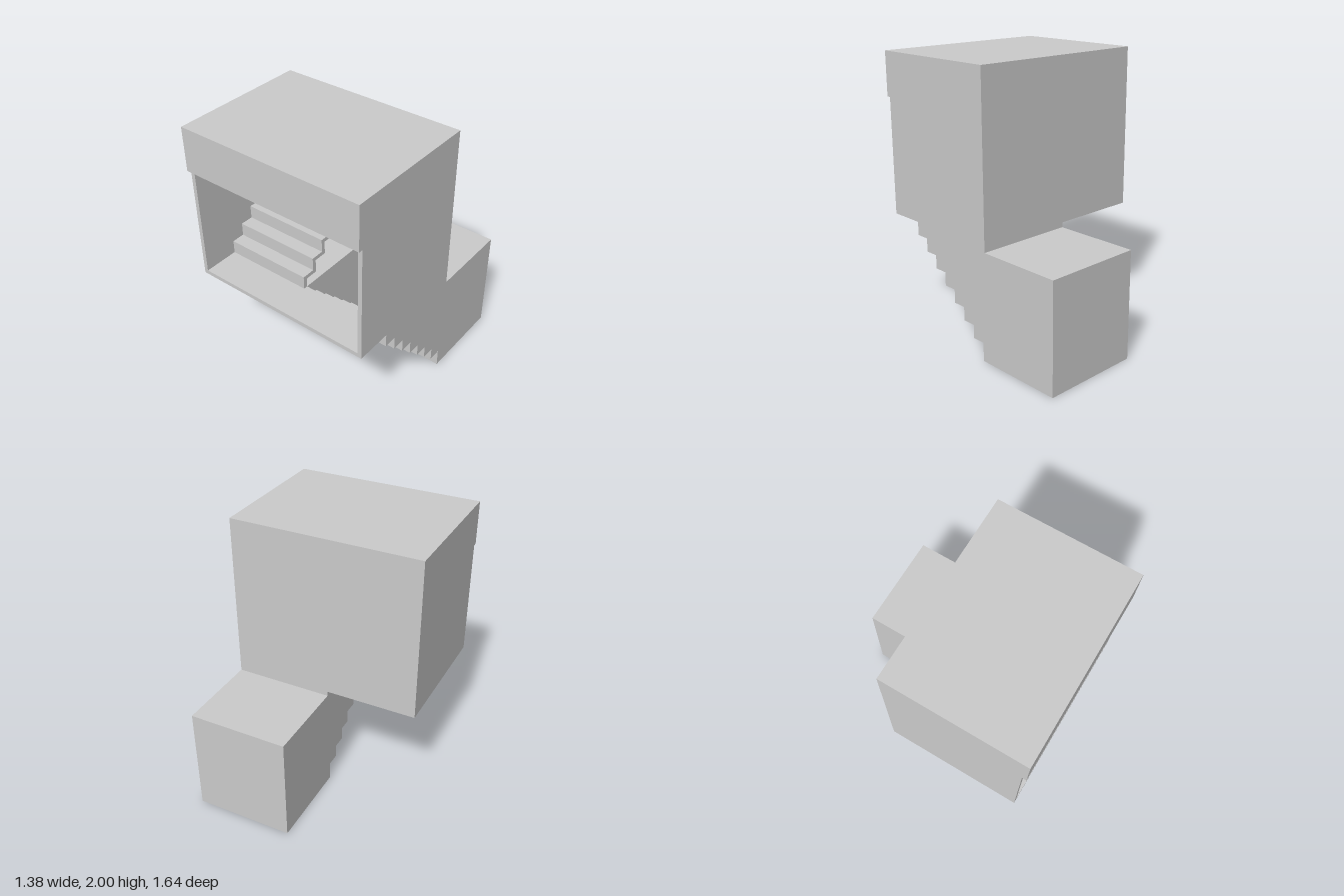
import * as THREE from 'three';

const T = 0.03;               // shell thickness
const STEP = 0.0985;          // rise and run of every step
const FLOOR = 0.825;          // underside of the upper floor
const X = 0.69, BACK = -0.195, FRONT = 0.79, LIP = 0.82, END = -0.82;
const LOW_TOP = 0.79, STAIR_Z = 0.525;

const material = new THREE.MeshStandardMaterial({ color: 0xcccccc, flatShading: true });

export function createModel() {
  const model = new THREE.Group();

  function add(name, geometry) {
    const mesh = new THREE.Mesh(geometry, material);
    mesh.name = name;
    model.add(mesh);
  }

  // Box given by its limits on each axis
  function box(name, x0, x1, y0, y1, z0, z1) {
    const g = new THREE.BoxGeometry(x1 - x0, y1 - y0, z1 - z0);
    g.translate((x0 + x1) / 2, (y0 + y1) / 2, (z0 + z1) / 2);
    add(name, g);
  }

  // Side profile of [z, y] points extruded from x0 to x1
  function profile(name, points, x0, x1) {
    const shape = new THREE.Shape(points.map(([z, y]) => new THREE.Vector2(z, y)));
    const g = new THREE.ExtrudeGeometry(shape, { depth: x1 - x0, bevelEnabled: false });
    g.rotateY(-Math.PI / 2);
    g.translate(x1, 0, 0);
    add(name, g);
  }

  // Descending stair line: eight risers from the upper floor to the ground
  const under = [[FRONT, FLOOR]];
  for (let i = 0; i < 8; i++) {
    const z = STAIR_Z - i * STEP;
    under.push([z, FLOOR - i * STEP], [z, i < 7 ? FLOOR - (i + 1) * STEP : 0]);
  }
  under.push([END, 0]);

  // Outer side wall, running the full height of both levels
  profile('rightHandWall', [
    ...under, [END, LOW_TOP], [BACK, LOW_TOP], [BACK, 2], [LIP, 2], [LIP, FRONT + 0.89], [FRONT, FRONT + 0.89],
  ], X - T, X);

  // Inner wall of the lower stairwell
  profile('stairwellWall', [
    ...under, [END, LOW_TOP], [BACK, LOW_TOP], [BACK, FLOOR + T], [FRONT, FLOOR + T],
  ], -T, 0);

  // Folded slab: front floor strip, stairs going down and lower landing
  const last = under.length - 1;
  const above = under.map(([z, y], i) => [i === 0 || i === last ? z : z - T, y + T]);
  profile('descendingStairs', [...under, ...above.reverse()], 0, X - T);

  // Lower landing enclosure
  box('landingBackWall', 0, X - T, T, LOW_TOP, END, END + T);
  box('landingCeiling', 0, X - T, LOW_TOP - T, LOW_TOP, END + T, BACK + T);

  // Upper room
  box('upperFloor', -X, -T, FLOOR, FLOOR + T, BACK, FRONT);
  box('leftHandWall', -X, -X + T, FLOOR + T, 2, BACK, FRONT);
  box('backWallLeft', -X + T, 0, FLOOR + T, 2, BACK, BACK + T);
  box('backWallRight', 0, X - T, LOW_TOP, 2, BACK, BACK + T);
  box('roof', -X + T, X - T, 2 - T, 2, BACK + T, FRONT);
  box('frontLintel', -X, X - T, 1.68, 2, FRONT, LIP);

  // Thin folded stairs going up to the back wall
  const top = [], bottom = [];
  for (let i = 0; i < 7; i++) {
    const z = STAIR_Z - i * STEP, y = FLOOR + T + i * STEP;
    top.push([z, y], [z, y + STEP]);
    bottom.push([z - T, i ? y - T : y], [z - T, y + STEP - T]);
  }
  const height = FLOOR + T + 7 * STEP;
  top.push([BACK + T, height]);
  bottom.push([BACK + T, height - T]);
  profile('ascendingStairs', [...top, ...bottom.reverse()], -X + T, 0);

  return model;
}
